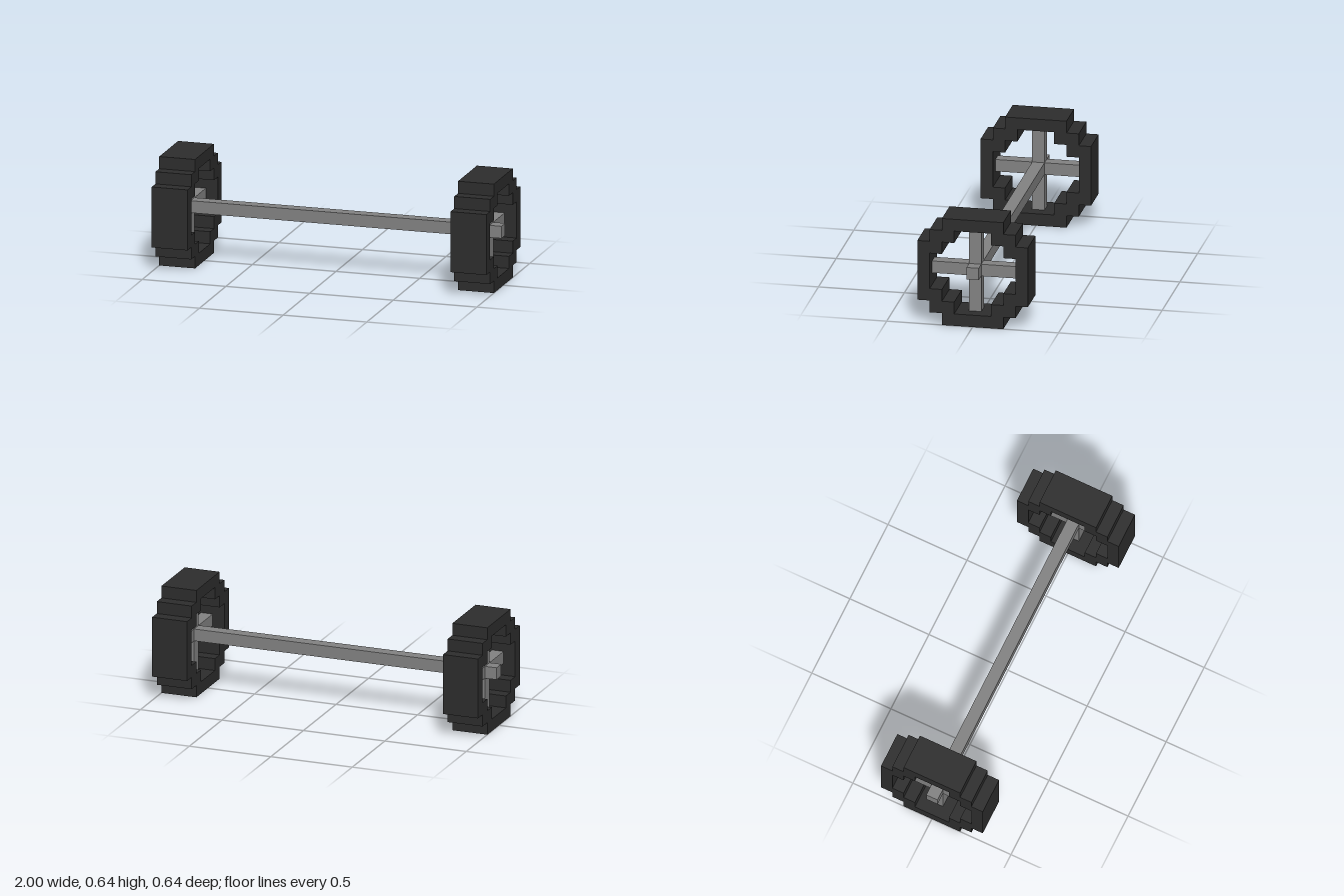
import * as THREE from 'three';

const U = 1 / 14; // one block
const AXLE_Y = 4.5 * U;

// Mirrors one stepped quarter [z, y] into a closed counter-clockwise outline
function steppedLoop(quarter) {
  const back = [...quarter].reverse();
  return [
    ...quarter,
    ...back.map(([a, b]) => [-a, b]),
    ...quarter.map(([a, b]) => [-a, -b]),
    ...back.map(([a, b]) => [a, -b]),
  ].map(([a, b]) => new THREE.Vector2(a * U, b * U));
}

function box(name, material, w, h, d, x = 0, y = 0, z = 0) {
  const mesh = new THREE.Mesh(new THREE.BoxGeometry(w * U, h * U, d * U), material);
  mesh.name = name;
  mesh.position.set(x * U, y * U, z * U);
  return mesh;
}

export function createModel() {
  const rubber = new THREE.MeshStandardMaterial({ color: 0x2d2d2d });
  rubber.name = 'dark rubber';
  const metal = new THREE.MeshStandardMaterial({ color: 0x838383 });
  metal.name = 'grey metal';

  const model = new THREE.Group();
  model.name = 'wheelAxle';

  // Blocky tyre ring, three blocks wide
  const ring = new THREE.Shape(steppedLoop([[4.5, 2.5], [3.5, 2.5], [3.5, 3.5], [2.5, 3.5], [2.5, 4.5]]));
  ring.holes.push(new THREE.Path(steppedLoop([[3.5, 1.5], [2.5, 1.5], [2.5, 2.5], [1.5, 2.5], [1.5, 3.5]])));
  const tyreGeometry = new THREE.ExtrudeGeometry(ring, { depth: 3 * U, bevelEnabled: false });
  tyreGeometry.translate(0, 0, -1.5 * U);
  tyreGeometry.rotateY(Math.PI / 2);

  for (const side of [1, -1]) {
    const wheel = new THREE.Group();
    wheel.name = side > 0 ? 'leftWheel' : 'rightWheel';
    wheel.position.set(side * 12.5 * U, AXLE_Y, 0);

    const tyre = new THREE.Mesh(tyreGeometry, rubber);
    tyre.name = 'tyre';
    wheel.add(tyre);

    // Four spokes around the axle
    for (const s of [1, -1]) {
      wheel.add(box('verticalSpoke', metal, 1, 3, 1, 0, 2 * s, 0));
      wheel.add(box('horizontalSpoke', metal, 1, 1, 3, 0, 0, 2 * s));
    }
    model.add(wheel);
  }

  // Axle runs through both wheels, flush with the outer faces
  model.add(box('axle', metal, 28, 1, 1, 0, 4.5, 0));
  return model;
}
